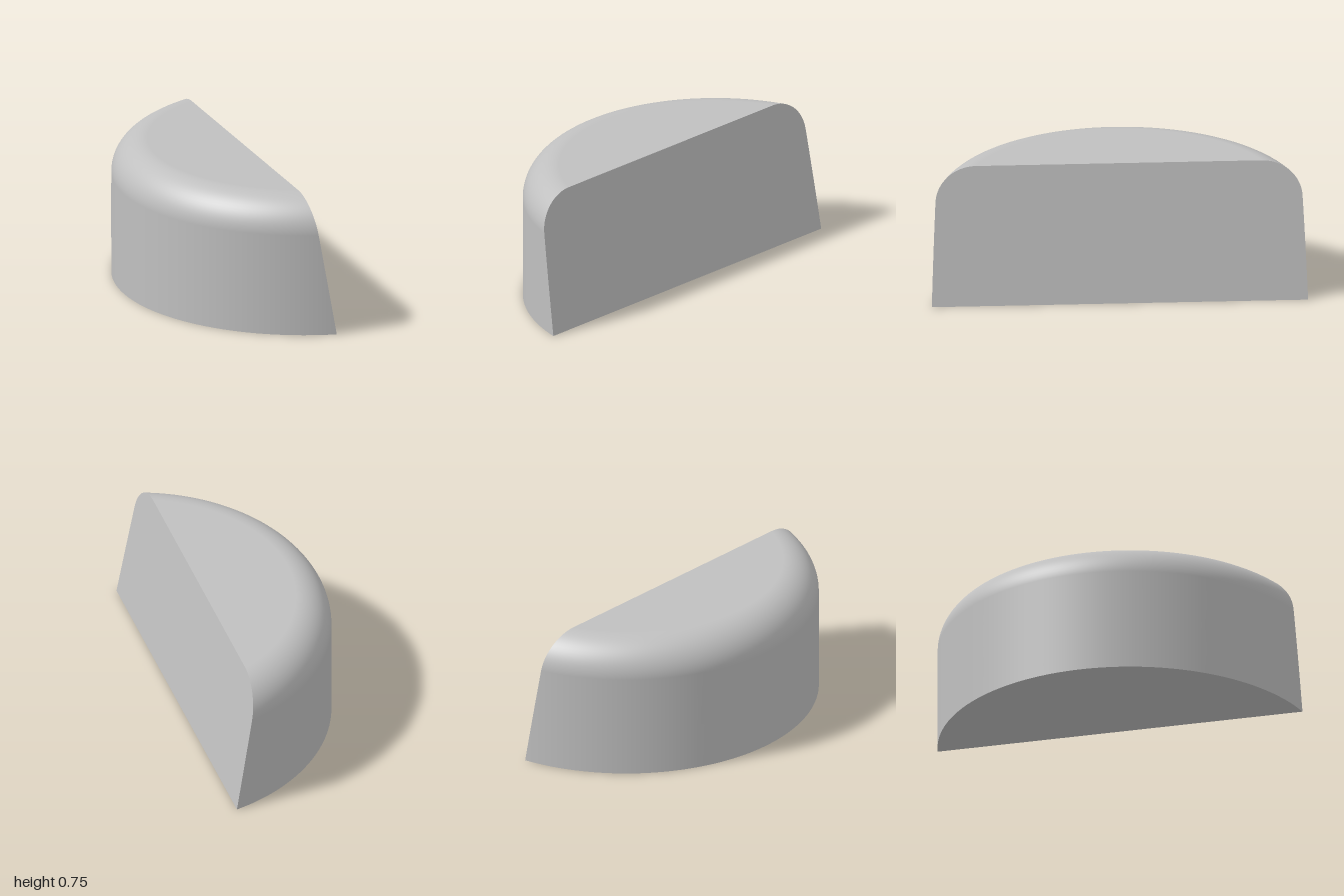
import * as THREE from 'three';

const RADIUS = 1.022, CENTER_X = 0.617, HEIGHT = 0.75, FILLET = 0.19, SEGMENTS = 96;
const cutX = (y) => 0.405 - (y / HEIGHT) * 0.125; // slanted cutting plane

// Flat convex face from an ordered ring of points
function flatFace(points) {
  const geometry = new THREE.BufferGeometry().setFromPoints(points);
  const index = [];
  for (let i = 1; i < points.length - 1; i++) index.push(0, i, i + 1);
  geometry.setIndex(index);
  const flat = geometry.toNonIndexed();
  flat.computeVertexNormals();
  return flat;
}

export function createModel() {
  const group = new THREE.Group();
  group.name = 'roundedSegmentBlock';
  const grey = new THREE.MeshStandardMaterial({ color: 0xc0c0c0 });
  grey.name = 'lightGrey';

  // Wall profile: radius, height, and outward slope of the normal
  const profile = [];
  for (let j = 0; j <= 4; j++) profile.push({ r: RADIUS, y: (HEIGHT - FILLET) * j / 4, t: 0 });
  for (let j = 1; j <= 16; j++) {
    const t = (Math.PI / 2) * j / 16;
    profile.push({
      r: RADIUS - FILLET + FILLET * Math.cos(t),
      y: HEIGHT - FILLET + FILLET * Math.sin(t),
      t,
    });
  }

  // Arcs swept about the centre, each ending on the slanted plane
  const normals = [];
  const rings = profile.map(({ r, y, t }) => {
    const limit = Math.acos((CENTER_X - cutX(y)) / r);
    return Array.from({ length: SEGMENTS + 1 }, (_, i) => {
      const a = limit * (2 * i / SEGMENTS - 1);
      normals.push(-Math.cos(a) * Math.cos(t), Math.sin(t), Math.sin(a) * Math.cos(t));
      return new THREE.Vector3(CENTER_X - r * Math.cos(a), y, r * Math.sin(a));
    });
  });

  const index = [];
  for (let j = 0; j < rings.length - 1; j++) {
    for (let i = 0; i < SEGMENTS; i++) {
      const a = j * (SEGMENTS + 1) + i, d = a + SEGMENTS + 1;
      index.push(a, a + 1, d + 1, a, d + 1, d);
    }
  }
  const wall = new THREE.BufferGeometry().setFromPoints(rings.flat());
  wall.setAttribute('normal', new THREE.Float32BufferAttribute(normals, 3));
  wall.setIndex(index);

  const add = (name, geometry) => {
    const mesh = new THREE.Mesh(geometry, grey);
    mesh.name = name;
    group.add(mesh);
  };

  // Curved wall with rounded rim, then the three flat faces
  add('curvedWall', wall);
  add('topFace', flatFace(rings[rings.length - 1]));
  add('bottomFace', flatFace([...rings[0]].reverse()));
  add('slantedFace', flatFace([
    ...rings.map((ring) => ring[0]),
    ...rings.map((ring) => ring[SEGMENTS]).reverse(),
  ]));
  return group;
}
